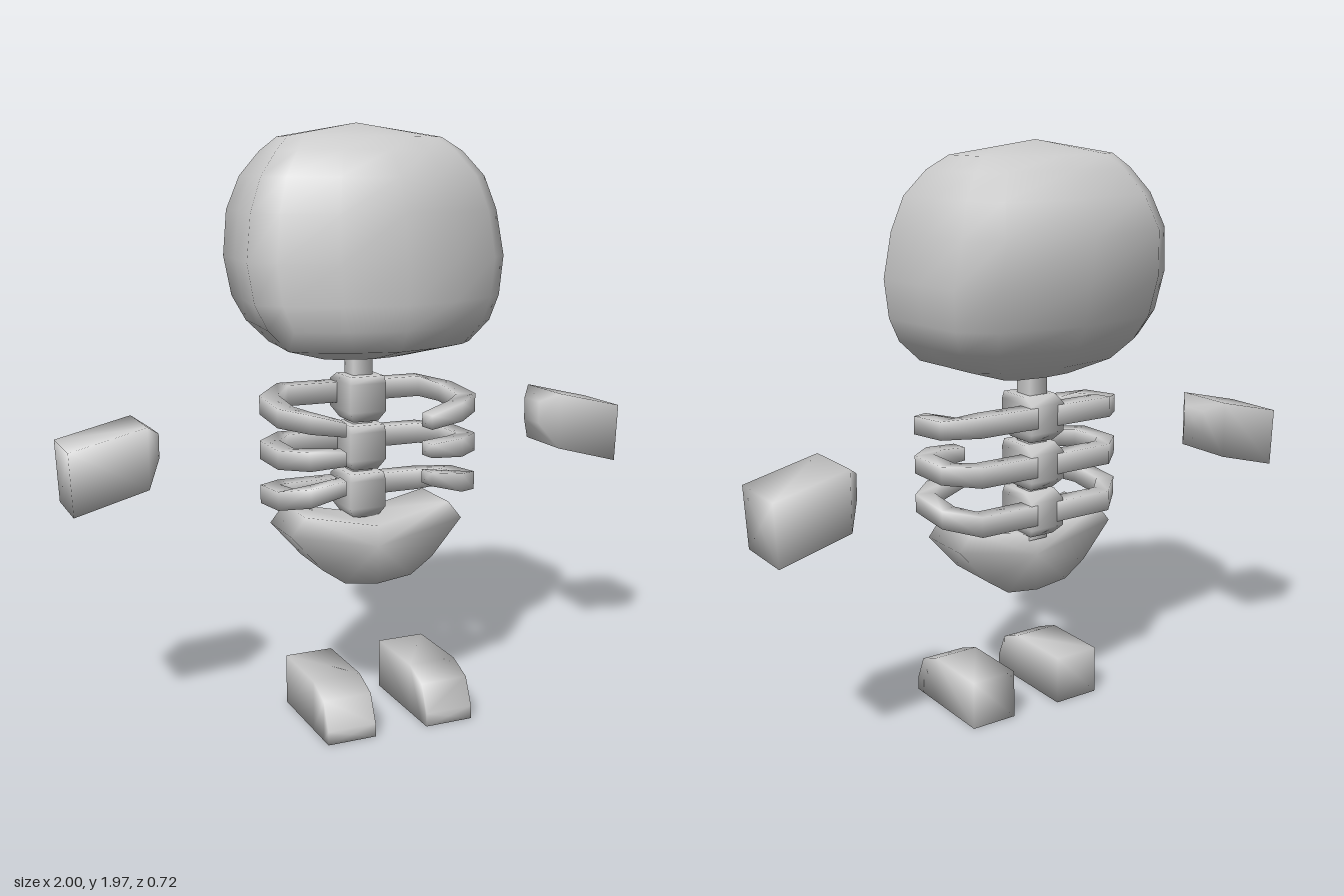
import * as THREE from 'three';

const V = (x, y, z) => new THREE.Vector3(x, y, z);
const material = new THREE.MeshStandardMaterial({ color: 0xcccccc });

// Smooth skin through equal-length rings of points, closed by a fan at each end
function loft(name, rings, startTip, endTip) {
  const n = rings[0].length;
  const centre = r => r.reduce((s, p) => s.add(p), V(0, 0, 0)).divideScalar(n);
  const last = rings.length - 1;
  const pts = [...rings.flat(), startTip ?? centre(rings[0]), endTip ?? centre(rings[last])];
  const a = rings.length * n, b = a + 1;
  const tris = [];
  for (let j = 0; j < n; j++) {
    const k = (j + 1) % n;
    for (let i = 0; i < last; i++) {
      const p = i * n + j, q = i * n + k;
      tris.push([p, q, q + n], [p, q + n, p + n]);
    }
    tris.push([a, k, j], [b, last * n + j, last * n + k]);
  }
  // Keep the faces outward whichever way the rings run
  const mid = centre(rings[0]).add(centre(rings[last])).multiplyScalar(0.5);
  let volume = 0;
  for (const [i, j, k] of tris) {
    const [p, q, r] = [i, j, k].map(m => pts[m].clone().sub(mid));
    volume += p.dot(q.cross(r));
  }
  if (volume < 0) tris.forEach(t => t.reverse());
  const g = new THREE.BufferGeometry().setFromPoints(pts);
  g.setIndex(tris.flat());
  g.computeVertexNormals();
  const mesh = new THREE.Mesh(g, material);
  mesh.name = name;
  return mesh;
}

// Rectangle in the XZ, YZ or XY plane
const corners = (a0, a1, b0, b1, f) => [[a0, b0], [a1, b0], [a1, b1], [a0, b1]].map(([a, b]) => f(a, b));

function makeHead() {
  // Outline: fraction of half width, fraction of depth from back to front
  const half = [[0, 1], [0.45, 0.93], [0.84, 0.81], [1, 0.71], [0.95, 0.45], [0.91, 0.2], [0.68, 0.07], [0, 0]];
  const outline = [...half, ...half.slice(1, -1).reverse().map(([x, z]) => [-x, z])];
  // Height, half width, back z, front z
  const levels = [
    [1.21, 0.15, -0.1, 0.1], [1.26, 0.32, -0.2, 0.31], [1.33, 0.39, -0.27, 0.355],
    [1.41, 0.43, -0.315, 0.36], [1.54, 0.45, -0.345, 0.36], [1.69, 0.43, -0.36, 0.34],
    [1.8, 0.39, -0.31, 0.3], [1.88, 0.325, -0.25, 0.23], [1.925, 0.27, -0.19, 0.14]
  ];
  const rings = levels.map(([y, w, b, f]) => outline.map(([x, z]) => V(x * w, y, b + z * (f - b))));
  return loft('head', rings, V(0, 1.2, 0), V(0, 1.97, -0.04));
}

// Bent square bar; bend = 1 droops towards the front, -1 rises
function makeRib(side, bend) {
  const path = [[0.04, -0.085], [0.25, -0.085], [0.325, -0.01], [0.325, 0.14], [0.26, 0.19], [0.15, 0.2]];
  const lift = [0.167, 0.167, 0.15, 0.135, 0.12, 0.095];
  const rings = path.map(([x, z], i) => {
    const p = path[Math.max(i - 1, 0)], q = path[Math.min(i + 1, path.length - 1)];
    const t = new THREE.Vector2(q[0] - p[0], q[1] - p[1]).normalize();
    const h = i < 2 ? 0.035 : i < 5 ? 0.031 : 0.023, w = 0.032;
    const y = 0.913 + bend * lift[i];
    return corners(-w, w, -h, h, (a, b) => V(side * (x + t.y * a), y + b, z - t.x * a));
  });
  return loft(side > 0 ? 'leftRib' : 'rightRib', rings);
}

function makeVertebra(top) {
  // Drop from top, half width, back z, front z
  const rings = [[0, 0.06, -0.07, 0.055], [0.025, 0.065, -0.115, 0.06], [0.12, 0.065, -0.115, 0.06], [0.155, 0.045, -0.08, 0.04]]
    .map(([d, w, b, f]) => corners(-w, w, b, f, (x, z) => V(x, top - d, z)));
  return loft('vertebra', rings);
}

function makePelvis() {
  const right = [[0, 0.655], [0.26, 0.712], [0.31, 0.65], [0.2, 0.525], [0.12, 0.47], [0, 0.455]];
  const outline = [...right, ...right.slice(1, -1).reverse().map(([x, y]) => [-x, y])];
  return loft('pelvis', [-0.055, 0.145].map(z => outline.map(([x, y]) => V(x, y, z))));
}

function makeHand(side) {
  // x, bottom, top, back, front
  const rings = [[1, 0.77, 0.975, -0.16, 0.06], [0.75, 0.835, 1.035, -0.16, 0.06], [0.7, 0.92, 1.0, -0.1, 0]]
    .map(([x, y0, y1, z0, z1]) => corners(y0, y1, z0, z1, (y, z) => V(side * (y < 0.8 ? 0.99 : x), y, z)));
  return loft(side > 0 ? 'leftHand' : 'rightHand', rings);
}

function makeFoot(side) {
  const rings = [[-0.05, 0.17], [0.2, 0.17], [0.29, 0.135], [0.33, 0.045]]
    .map(([z, top]) => corners(0.093, 0.26, 0, top, (x, y) => V(side * x, y, z)));
  return loft(side > 0 ? 'leftFoot' : 'rightFoot', rings);
}

export function createModel() {
  const model = new THREE.Group();
  model.name = 'skeletonFigure';
  model.add(makeHead(), makePelvis());

  // Spine: thin core with three vertebrae
  const spine = new THREE.Group();
  spine.name = 'spine';
  spine.add(loft('spineCore', [0.64, 1.23].map(y => corners(-0.035, 0.035, -0.06, 0.015, (x, z) => V(x, y, z)))));
  for (const top of [1.145, 0.98, 0.815]) spine.add(makeVertebra(top));
  model.add(spine);

  // Mirrored ribs, hands and feet
  const ribs = new THREE.Group();
  ribs.name = 'ribCage';
  for (const side of [1, -1]) {
    for (const bend of [1, 0, -1]) ribs.add(makeRib(side, bend));
    model.add(makeHand(side), makeFoot(side));
  }
  model.add(ribs);
  return model;
}
